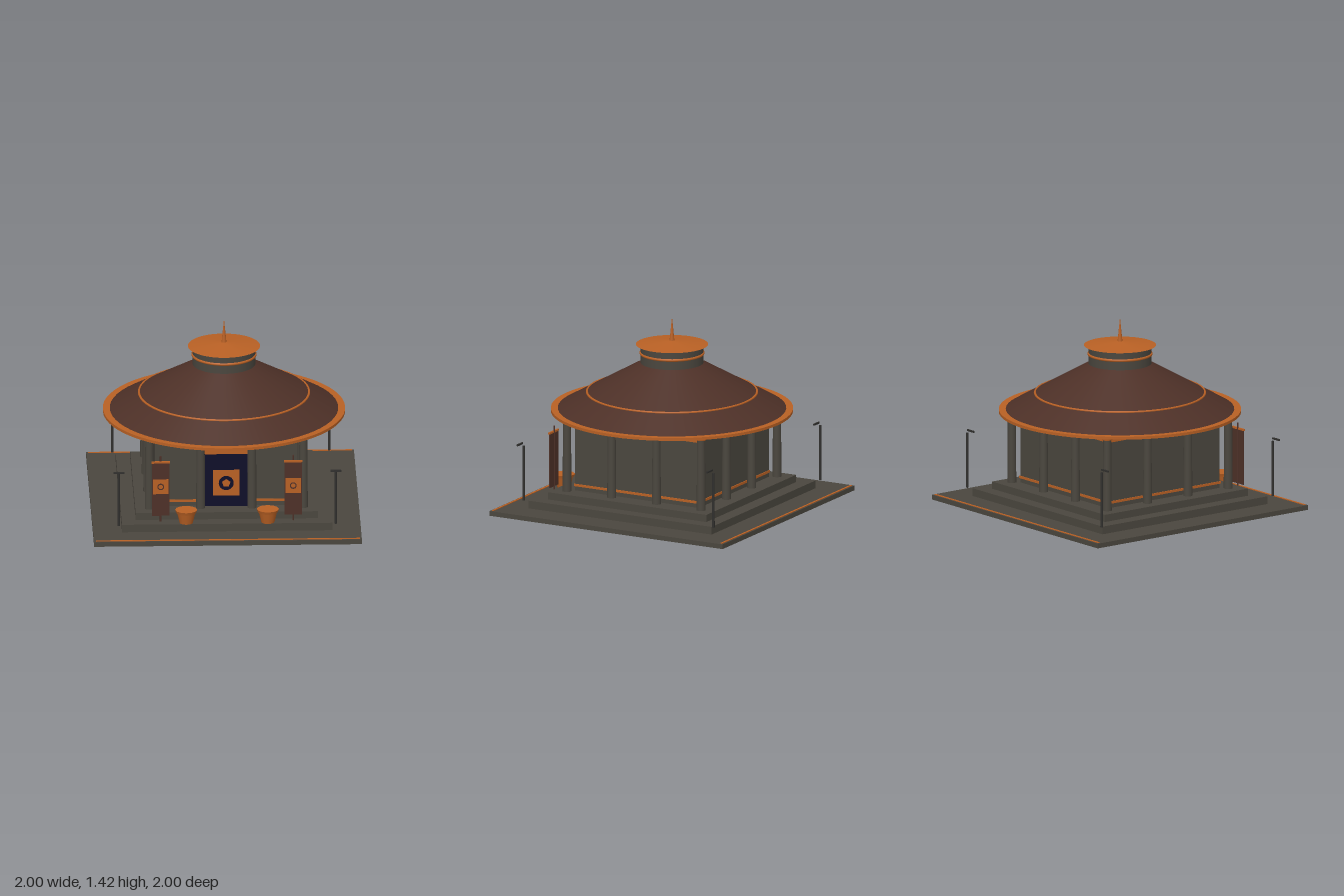
import * as THREE from 'three';

const mat = (name, color) => {
  const m = new THREE.MeshStandardMaterial({ color });
  m.name = name;
  return m;
};

export function createModel() {
  const stone = mat('warm grey stone', 0x4a463e);
  const brown = mat('dark brown roof', 0x4d3027);
  const orange = mat('copper orange', 0xb86024);
  const navy = mat('night blue', 0x0d0d28);
  const iron = mat('dark iron', 0x302f2d);

  const model = new THREE.Group();
  model.name = 'pavilion';

  const add = (name, geo, material, x = 0, y = 0, z = 0, parent = model) => {
    const mesh = new THREE.Mesh(geo, material);
    mesh.name = name;
    mesh.position.set(x, y, z);
    parent.add(mesh);
    return mesh;
  };
  // Box and cylinder helpers placed by their bottom and top heights
  const box = (name, m, w, d, y0, y1, x = 0, z = 0, parent = model) =>
    add(name, new THREE.BoxGeometry(w, y1 - y0, d), m, x, (y0 + y1) / 2, z, parent);
  const cyl = (name, m, rTop, rBottom, y0, y1, x = 0, z = 0, sides = 16, open = false, parent = model) =>
    add(name, new THREE.CylinderGeometry(rTop, rBottom, y1 - y0, sides, 1, open), m, x, (y0 + y1) / 2, z, parent);
  const ring = (name, r, tube, y) => {
    const geo = new THREE.TorusGeometry(r, tube, 8, 64);
    geo.rotateX(Math.PI / 2);
    return add(name, geo, orange, 0, y, 0);
  };

  // Stepped platform
  box('basePlate', stone, 2, 2, 0, 0.036);
  box('lowerStep', stone, 1.57, 1.57, 0.036, 0.095);
  box('upperStep', stone, 1.36, 1.36, 0.095, 0.15);
  for (const s of [1, -1]) box('baseTrim', orange, 1.97, 0.016, 0.034, 0.041, 0, s * 0.98);

  // Hall walls with trim bands
  box('walls', stone, 1.06, 1.06, 0.15, 0.67);
  box('lowerWallTrim', orange, 1.074, 1.074, 0.183, 0.201);
  box('upperWallTrim', orange, 1.074, 1.074, 0.653, 0.676);

  // Colonnade: four columns along each side
  const spots = [-0.575, -0.192, 0.192, 0.575];
  for (const x of spots) for (const z of spots) {
    if (Math.abs(x) < 0.5 && Math.abs(z) < 0.5) continue;
    const column = new THREE.Group();
    column.name = 'column';
    column.position.set(x, 0, z);
    model.add(column);
    cyl('columnShaft', stone, 0.03, 0.034, 0.15, 0.692, 0, 0, 16, false, column);
    cyl('columnCapital', orange, 0.046, 0.04, 0.692, 0.717, 0, 0, 16, false, column);
  }

  // Door, lintel and geometric ornament
  box('door', navy, 0.32, 0.02, 0.15, 0.562, 0, 0.535);
  box('doorLintel', orange, 0.32, 0.024, 0.562, 0.592, 0, 0.535);
  box('doorPanel', orange, 0.2, 0.006, 0.235, 0.437, 0, 0.547);
  add('doorDisc', new THREE.CircleGeometry(0.056, 32), navy, 0, 0.335, 0.552);
  const pentagon = new THREE.CircleGeometry(0.033, 5);
  pentagon.rotateZ(Math.PI / 2);
  add('doorPentagon', pentagon, orange, 0, 0.335, 0.554);

  // Two-pitch round roof
  cyl('eaveDisc', orange, 0.905, 0.905, 0.715, 0.736, 0, 0, 64);
  cyl('lowerRoof', brown, 0.637, 0.855, 0.735, 0.86, 0, 0, 64, true);
  cyl('upperRoof', brown, 0.235, 0.637, 0.86, 1.087, 0, 0, 64, true);
  ring('roofRing', 0.635, 0.009, 0.86);

  // Lantern drum, cap and spire
  cyl('drum', stone, 0.235, 0.235, 1.08, 1.23, 0, 0, 48);
  ring('drumBand', 0.233, 0.011, 1.16);
  cyl('cap', orange, 0.02, 0.27, 1.226, 1.256, 0, 0, 48);
  cyl('spire', orange, 0.002, 0.019, 1.25, 1.42);

  for (const s of [1, -1]) {
    // Standing banners
    const banner = new THREE.Group();
    banner.name = 'banner';
    banner.position.set(s * 0.495, 0, 0.735);
    model.add(banner);
    cyl('bannerPole', brown, 0.007, 0.007, 0.1, 0.615, 0, -0.006, 8, false, banner);
    box('bannerCloth', brown, 0.128, 0.01, 0.148, 0.565, 0, 0, banner);
    box('bannerBar', orange, 0.14, 0.016, 0.562, 0.576, 0, 0, banner);
    box('bannerPanel', orange, 0.114, 0.006, 0.32, 0.437, 0, 0.005, banner);
    add('bannerRing', new THREE.RingGeometry(0.017, 0.026, 20), brown, 0, 0.378, 0.0095, banner);

    // Tapered pots with a rim
    const pot = new THREE.Group();
    pot.name = 'pot';
    pot.position.set(s * 0.305, 0, 0.755);
    model.add(pot);
    cyl('potBody', orange, 0.07, 0.05, 0.097, 0.185, 0, 0, 12, false, pot);
    cyl('potRim', orange, 0.083, 0.076, 0.178, 0.2, 0, 0, 12, false, pot);

    // Corner lamp posts with a cross arm
    for (const t of [1, -1]) {
      const lamp = new THREE.Group();
      lamp.name = 'lampPost';
      lamp.position.set(s * 0.81, 0, t * 0.813);
      model.add(lamp);
      cyl('lampShaft', iron, 0.009, 0.011, 0.1, 0.52, 0, 0, 10, false, lamp);
      box('lampArm', iron, 0.08, 0.012, 0.522, 0.535, 0, 0.033, lamp);
    }
  }
  return model;
}
